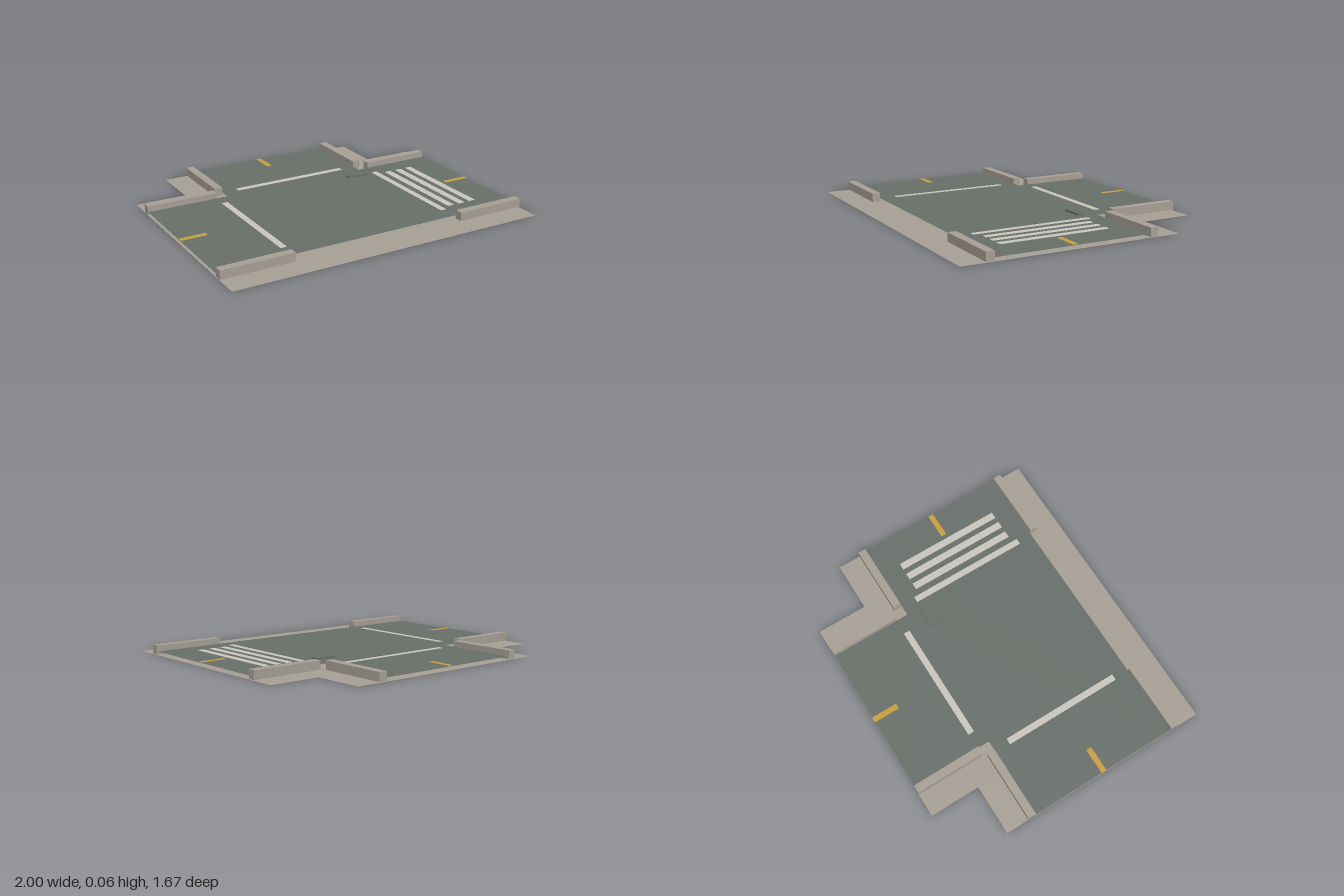
import * as THREE from 'three';

const flat = (name, color) => new THREE.MeshStandardMaterial({ name, color, side: THREE.DoubleSide });

export function createModel() {
  const group = new THREE.Group();
  group.name = 'roadJunction';
  const concrete = flat('concrete', 0xa8a197);
  const asphalt = flat('asphalt', 0x69706a);
  const whitePaint = flat('whitePaint', 0xccc8bf);
  const yellowPaint = flat('yellowPaint', 0xc9a03f);

  const add = (name, geometry, material) => {
    const mesh = new THREE.Mesh(geometry, material);
    mesh.name = name;
    group.add(mesh);
    return mesh;
  };

  // Flat T-shaped sheet: bar across the front, stem towards the back
  const tSheet = (name, material, y, stemX, shoulderZ, frontZ) => {
    const outline = [
      [-1, frontZ], [1, frontZ], [1, shoulderZ], [stemX, shoulderZ],
      [stemX, -0.84], [-stemX, -0.84], [-stemX, shoulderZ], [-1, shoulderZ],
    ].map(([x, z]) => new THREE.Vector2(x, -z));
    const geometry = new THREE.ShapeGeometry(new THREE.Shape(outline));
    add(name, geometry.rotateX(-Math.PI / 2), material).position.y = y;
  };

  // Flat painted rectangle lying just above the road
  const paint = (name, material, x0, x1, z0, z1) => {
    const geometry = new THREE.PlaneGeometry(x1 - x0, z1 - z0).rotateX(-Math.PI / 2);
    add(name, geometry, material).position.set((x0 + x1) / 2, 0.026, (z0 + z1) / 2);
  };

  const block = (name, material, x0, x1, y0, y1, z0, z1) => {
    const geometry = new THREE.BoxGeometry(x1 - x0, y1 - y0, z1 - z0);
    add(name, geometry, material).position.set((x0 + x1) / 2, (y0 + y1) / 2, (z0 + z1) / 2);
  };

  // Ground sheets
  tSheet('sidewalk', concrete, 0, 0.68, -0.52, 0.835);
  tSheet('road', asphalt, 0.022, 0.482, -0.322, 0.637);

  // Curbs, mirrored left and right
  for (const [side, s] of [['left', 1], ['right', -1]]) {
    const curb = (name, a, b, z0, z1) =>
      block(side + name, concrete, Math.min(s * a, s * b), Math.max(s * a, s * b), 0.004, 0.057, z0, z1);
    curb('FrontCurb', 0.553, 1, 0.64, 0.69);
    curb('BackCurb', 0.553, 1, -0.375, -0.325);
    curb('StemCurb', 0.482, 0.533, -0.84, -0.395);
  }

  // Stop lines
  paint('rightStopLine', whitePaint, -0.565, -0.525, -0.225, 0.54);
  paint('leftStopLine', whitePaint, 0.52, 0.56, -0.225, 0.54);
  paint('backStopLine', whitePaint, -0.383, 0.381, -0.405, -0.365);

  // Crosswalk bars on the left arm
  for (let i = 0; i < 3; i++) {
    const x = 0.6 + i * 0.08;
    paint('crosswalkBar', whitePaint, x, x + 0.045, -0.187, 0.505);
  }

  // Centre line dashes at the road ends
  paint('rightCentreDash', yellowPaint, -1, -0.835, 0.14, 0.175);
  paint('leftCentreDash', yellowPaint, 0.832, 1, 0.14, 0.175);
  paint('backCentreDash', yellowPaint, -0.02, 0.016, -0.84, -0.674);

  // Drain cover
  block('drainCover', asphalt, 0.33, 0.47, 0.028, 0.04, -0.24, -0.192);

  return group;
}
